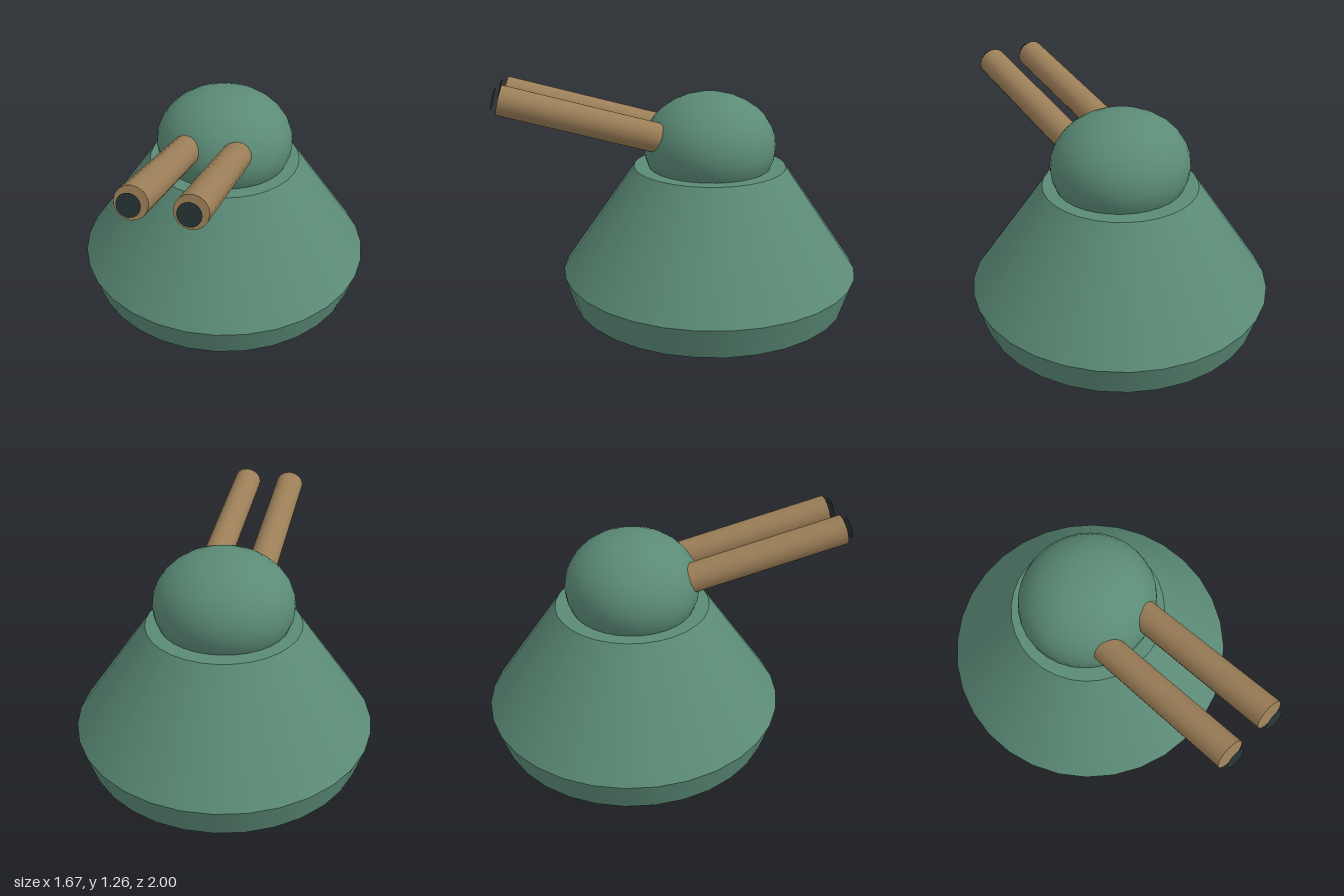
import * as THREE from 'three';

export function createModel() {
  const group = new THREE.Group();
  const material = (name, color) => {
    const m = new THREE.MeshStandardMaterial({ color });
    m.name = name;
    return m;
  };
  const green = material('armour green', 0x5b8b77);
  const tan = material('barrel tan', 0x9c7f58);
  const dark = material('bore dark', 0x263333);
  dark.side = THREE.DoubleSide;

  const add = (name, geometry, mat, parent = group) => {
    const mesh = new THREE.Mesh(geometry, mat);
    mesh.name = name;
    parent.add(mesh);
    return mesh;
  };

  // Round base: flared skirt below a tapering hull
  const skirtH = 0.175, hullTop = 0.77, centreZ = -0.163;
  const skirt = add('skirt', new THREE.CylinderGeometry(0.836, 0.785, skirtH, 32), green);
  skirt.position.set(0, skirtH / 2, centreZ);
  const hull = add('hull', new THREE.CylinderGeometry(0.425, 0.836, hullTop - skirtH, 32), green);
  hull.position.set(0, (hullTop + skirtH) / 2, centreZ);

  // Flattened dome sunk into the hull
  const dome = add('dome', new THREE.SphereGeometry(1, 32, 16), green);
  dome.scale.set(0.383, 0.297, 0.368);
  dome.position.set(0, 0.883, -0.161);

  // Twin raised barrels; local y runs out along each barrel from the muzzle
  const length = 1.0;
  for (const side of [-1, 1]) {
    const gun = new THREE.Group();
    gun.name = side > 0 ? 'leftGun' : 'rightGun';
    gun.position.set(side * 0.135, 1.182, 0.953);
    gun.rotation.x = THREE.MathUtils.degToRad(75);
    const barrel = add('barrel', new THREE.CylinderGeometry(0.081, 0.081, length, 16), tan, gun);
    barrel.position.y = -length / 2;
    // Dark bore disc just ahead of the muzzle
    const bore = add('bore', new THREE.CircleGeometry(0.057, 16), dark, gun);
    bore.rotation.x = -Math.PI / 2;
    bore.position.y = 0.032;
    group.add(gun);
  }
  return group;
}
